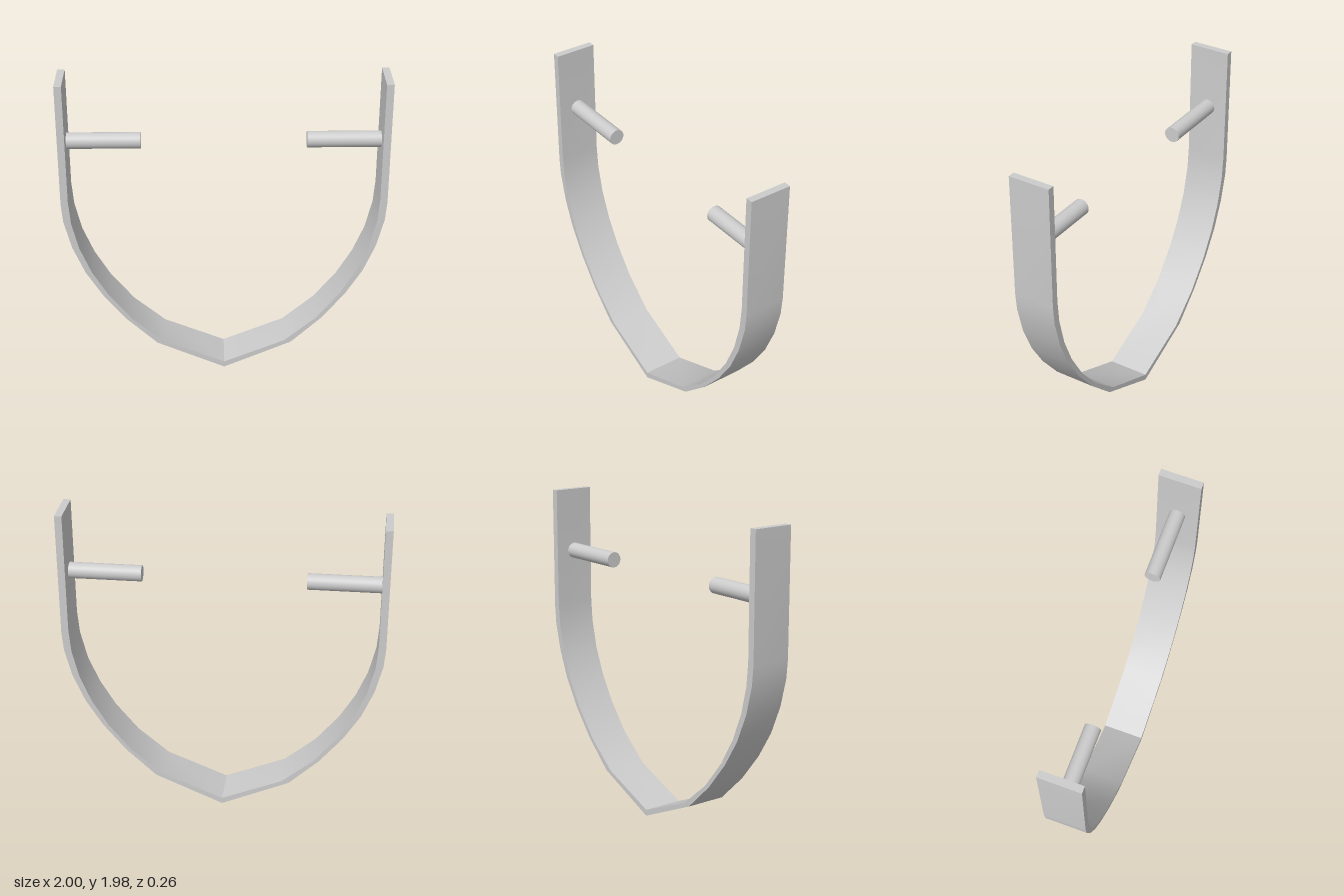
import * as THREE from 'three';
import { toCreasedNormals } from 'three/addons/utils/BufferGeometryUtils.js';

// Half profiles of the band, from the top of the arm down to the pointed bottom
const OUTER = [[1, 1.98], [1, 1.2], [0.99, 1.08], [0.945, 0.9], [0.87, 0.72], [0.765, 0.55], [0.62, 0.37], [0.43, 0.19], [0, 0]];
const INNER = [[0.955, 1.98], [0.955, 1.22], [0.943, 1.07], [0.9, 0.89], [0.83, 0.72], [0.73, 0.55], [0.585, 0.37], [0.385, 0.2], [0, 0.04]];
const WIDTH = 0.265;

// Full left-to-right outline from one half
const mirrored = (half) => [
  ...half,
  ...half.slice(0, -1).reverse().map(([x, y]) => [-x, y]),
];

export function createModel() {
  const group = new THREE.Group();
  const material = new THREE.MeshStandardMaterial({ color: 0xcccccc });

  // Curved strap
  const outline = [...mirrored(OUTER), ...mirrored(INNER).reverse()];
  const shape = new THREE.Shape(outline.map(([x, y]) => new THREE.Vector2(x, y)));
  const strapGeometry = new THREE.ExtrudeGeometry(shape, { depth: WIDTH, bevelEnabled: false });
  strapGeometry.translate(0, 0, -WIDTH / 2);
  const strap = new THREE.Mesh(toCreasedNormals(strapGeometry, 0.6), material);
  strap.name = 'strap';
  group.add(strap);

  // Pegs pointing inward from each arm
  const pegGeometry = new THREE.CylinderGeometry(0.05, 0.05, 0.46, 32).rotateZ(Math.PI / 2);
  for (const side of [1, -1]) {
    const peg = new THREE.Mesh(pegGeometry, material);
    peg.name = side > 0 ? 'leftPeg' : 'rightPeg';
    peg.position.set(side * 0.735, 1.57, 0);
    group.add(peg);
  }
  return group;
}
